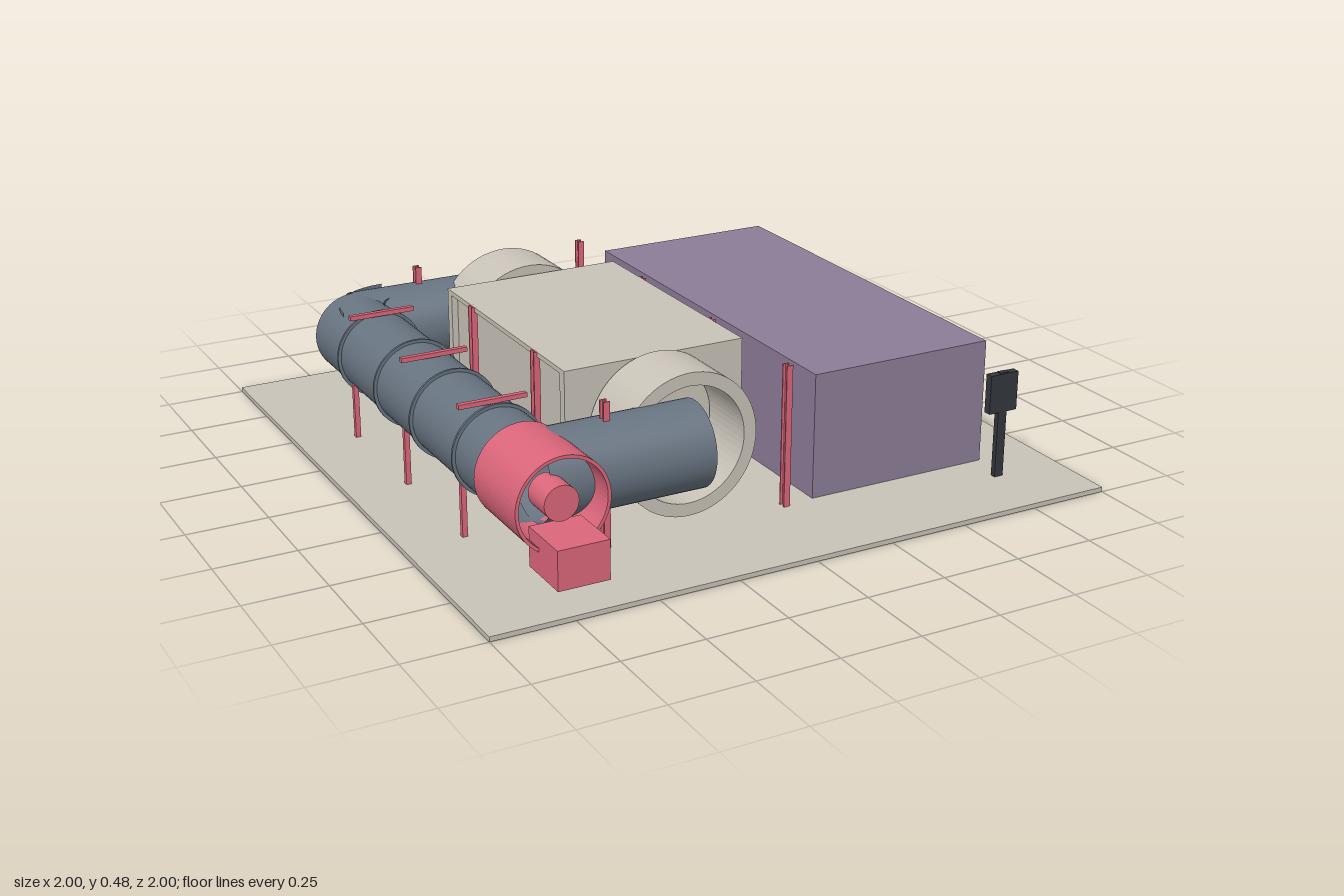
import * as THREE from 'three';

const mat = (color) => new THREE.MeshStandardMaterial({ color, side: THREE.DoubleSide });

export function createModel() {
  const model = new THREE.Group();
  const beige = mat(0xc9c3b8), purple = mat(0x8d7d98), red = mat(0xdc667b);
  const steel = mat(0x687481), blue = mat(0x3aa6d8), dark = mat(0x33363c), navy = mat(0x2b3a4c);

  const add = (name, geometry, material, x = 0, y = 0, z = 0, parent = model) => {
    const mesh = new THREE.Mesh(geometry, material);
    mesh.name = name;
    mesh.position.set(x, y, z);
    parent.add(mesh);
    return mesh;
  };
  // Box given by its minimum and maximum corners
  const box = (name, material, [x0, y0, z0], [x1, y1, z1], parent) =>
    add(name, new THREE.BoxGeometry(x1 - x0, y1 - y0, z1 - z0), material,
      (x0 + x1) / 2, (y0 + y1) / 2, (z0 + z1) / 2, parent);
  // Open pipe along x or z
  const pipe = (name, material, r, length, axis, x, y, z) => {
    const g = new THREE.CylinderGeometry(r, r, length, 48, 1, true);
    if (axis === 'x') g.rotateZ(Math.PI / 2); else g.rotateX(Math.PI / 2);
    return add(name, g, material, x, y, z);
  };
  // Thick-walled ring along z
  const collar = (name, material, outer, inner, depth, x, y, z) => {
    const shape = new THREE.Shape().absarc(0, 0, outer, 0, Math.PI * 2);
    shape.holes.push(new THREE.Path().absarc(0, 0, inner, 0, Math.PI * 2, true));
    const g = new THREE.ExtrudeGeometry(shape, { depth, bevelEnabled: false, curveSegments: 32 });
    return add(name, g, material, x, y, z);
  };

  const ground = 0.015;
  box('groundSlab', beige, [-1, 0, -1], [1, ground, 1]);

  // Control building with window and door
  box('building', purple, [0.195, ground, -0.67], [0.8, 0.405, 0.66]);
  box('buildingWindow', blue, [0.795, 0.235, -0.5], [0.808, 0.332, 0.5]);
  box('buildingDoor', blue, [0.41, ground, -0.677], [0.585, 0.17, -0.665]);

  // Sign
  box('signPost', dark, [0.762, ground, 0.77], [0.792, 0.35, 0.788]);
  box('signBoard', dark, [0.727, 0.225, 0.766], [0.825, 0.347, 0.791]);

  // Test chamber: rectangular shell around a slightly recessed core
  const shell = new THREE.Shape();
  shell.moveTo(-0.415, ground).lineTo(0.415, ground).lineTo(0.415, 0.455).lineTo(-0.415, 0.455).closePath();
  const opening = new THREE.Path();
  opening.moveTo(-0.385, 0.03).lineTo(-0.385, 0.44).lineTo(0.385, 0.44).lineTo(0.385, 0.03).closePath();
  shell.holes.push(opening);
  const shellGeometry = new THREE.ExtrudeGeometry(shell, { depth: 0.585, bevelEnabled: false });
  shellGeometry.rotateY(Math.PI / 2);
  add('testChamberShell', shellGeometry, beige, -0.49, 0, -0.004);
  box('testChamberCore', beige, [-0.47, 0.03, -0.389], [0.075, 0.44, 0.381]);

  // Observation window with mullions
  box('chamberWindow', blue, [0.075, 0.16, -0.34], [0.097, 0.365, 0.335]);
  for (const y of [0.15, 0.36]) box('windowRail', navy, [0.09, y, -0.345], [0.103, y + 0.012, 0.34]);
  for (let i = 0; i <= 6; i++) {
    const z = -0.34 + i * 0.1125;
    box('windowMullion', navy, [0.09, 0.15, z - 0.005], [0.103, 0.372, z + 0.005]);
  }

  // Chamber inlet and outlet collars
  collar('frontCollar', beige, 0.22, 0.18, 0.2, -0.2, 0.25, 0.423);
  collar('backCollar', beige, 0.232, 0.19, 0.2, -0.2, 0.25, -0.633);

  // Duct loop
  const cx = -0.715, cy = 0.27, r = 0.13;
  pipe('mainDuct', steel, r, 1.33, 'z', cx, cy, -0.005);
  pipe('frontCrossDuct', steel, r, 0.51, 'x', -0.457, cy, 0.655);
  pipe('backCrossDuct', steel, r, 0.51, 'x', -0.457, cy, -0.66);
  for (const z of [-0.448, -0.148, 0.132, 0.44])
    collar('ductFlange', steel, 0.14, 0.129, 0.008, cx, cy, z - 0.004);

  // Curved turning vanes in the back corner
  for (const radius of [0.07, 0.12, 0.17, 0.21])
    add('turningVane', new THREE.CylinderGeometry(radius, radius, 0.235, 12, 1, true, Math.PI, Math.PI / 2),
      steel, -0.585, cy, -0.54);

  // Fan housing, hub and motor
  collar('fanHousing', red, 0.142, 0.132, 0.265, cx, cy, 0.597);
  const hub = new THREE.CylinderGeometry(0.052, 0.052, 0.1, 32);
  hub.rotateX(Math.PI / 2);
  add('fanHub', hub, red, cx, cy, 0.8);
  box('fanMotor', red, [-0.79, 0.082, 0.8], [-0.635, 0.2, 0.975]);

  // Duct supports: two legs and a strap bar over the duct
  for (const z of [-0.42, -0.005, 0.412]) {
    const support = new THREE.Group();
    support.name = 'ductSupport';
    model.add(support);
    box('strapBar', red, [-0.82, 0.403, z - 0.008], [-0.61, 0.417, z + 0.008], support);
    for (const x of [cx - 0.097, cx + 0.097])
      box('supportLeg', red, [x - 0.008, ground, z - 0.008], [x + 0.008, 0.22, z + 0.008], support);
  }

  // I-section columns
  for (const x of [-0.49, 0.098]) for (const z of [-0.67, -0.226, 0.219, 0.662]) {
    const column = new THREE.Group();
    column.name = 'column';
    model.add(column);
    box('columnWeb', red, [x - 0.002, ground, z - 0.011], [x + 0.002, 0.455, z + 0.011], column);
    for (const s of [-1, 1])
      box('columnFlange', red, [x - 0.01, ground, z + s * 0.011 - 0.002], [x + 0.01, 0.455, z + s * 0.011 + 0.002], column);
  }
  return model;
}
